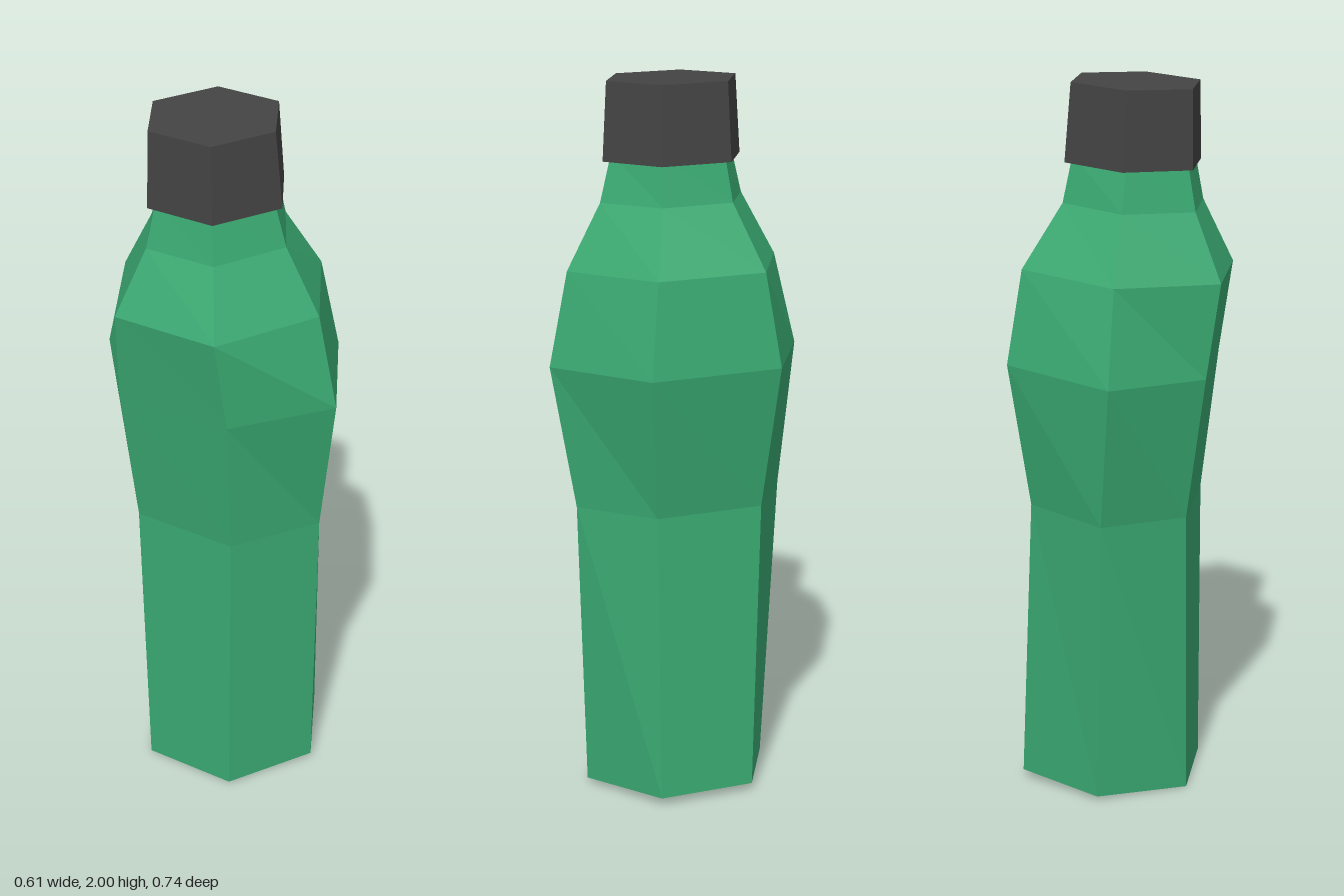
import * as THREE from 'three';

// Each ring: height on the axis, then six [x, z] corners starting at the back.
const bottleRings = [
  { y: 0.011, p: [[0.01, -0.255], [0.255, -0.14], [0.275, 0.135], [0.05, 0.285], [-0.195, 0.17], [-0.215, -0.105]] },
  { y: 0.825, p: [[-0.015, -0.31], [0.215, -0.175], [0.24, 0.135], [0.04, 0.305], [-0.195, 0.175], [-0.215, -0.135]] },
  { y: 1.226, p: [[-0.05, -0.37], [0.27, -0.21], [0.305, 0.17], [0.015, 0.37], [-0.24, 0.195], [-0.27, -0.15]] },
  { y: 1.488, p: [[-0.05, -0.305], [0.235, -0.175], [0.26, 0.137], [0.005, 0.315], [-0.28, 0.185], [-0.305, -0.13]] },
  { y: 1.668, p: [[-0.05, -0.205], [0.135, -0.115], [0.155, 0.09], [-0.01, 0.215], [-0.205, 0.125], [-0.225, -0.085]] },
  { y: 1.8, p: [[-0.055, -0.175], [0.11, -0.1], [0.125, 0.08], [-0.02, 0.18], [-0.185, 0.105], [-0.2, -0.07]] },
];
const capRings = [
  { y: 1.779, p: [[-0.05, -0.2], [0.13, -0.112], [0.146, 0.09], [-0.016, 0.205], [-0.2, 0.117], [-0.217, -0.085]] },
  { y: 1.995, p: [[-0.06, -0.19], [0.113, -0.107], [0.129, 0.083], [-0.028, 0.19], [-0.197, 0.11], [-0.214, -0.082]] },
];

// Joins rings into flat-sided walls; the whole bottle leans, so heights rise with x.
function loft(rings, slope, closed) {
  const pos = [];
  const n = rings[0].p.length;
  const at = (r, i) => {
    const [x, z] = rings[r].p[i % n];
    return [x, rings[r].y + slope * x, z];
  };
  const tri = (a, b, c) => pos.push(...a, ...b, ...c);
  for (let r = 0; r < rings.length - 1; r++) {
    for (let i = 0; i < n; i++) {
      tri(at(r, i), at(r + 1, i), at(r + 1, i + 1));
      tri(at(r, i), at(r + 1, i + 1), at(r, i + 1));
    }
  }
  if (closed) {
    const top = rings.length - 1;
    for (let i = 1; i < n - 1; i++) {
      tri(at(0, 0), at(0, i), at(0, i + 1));
      tri(at(top, 0), at(top, i + 1), at(top, i));
    }
  }
  const geo = new THREE.BufferGeometry();
  geo.setAttribute('position', new THREE.Float32BufferAttribute(pos, 3));
  geo.computeVertexNormals();
  return geo;
}

export function createModel() {
  const green = new THREE.MeshStandardMaterial({ color: 0x3aaa72, flatShading: true, side: THREE.DoubleSide });
  green.name = 'bottle green';
  const charcoal = new THREE.MeshStandardMaterial({ color: 0x444444, flatShading: true });
  charcoal.name = 'cap charcoal';

  const group = new THREE.Group();
  group.name = 'bottle';

  // Thin body, open at the base
  const body = new THREE.Mesh(loft(bottleRings, 0.047, false), green);
  body.name = 'bottleBody';

  // Screw cap over the neck
  const cap = new THREE.Mesh(loft(capRings, 0.038, true), charcoal);
  cap.name = 'cap';

  group.add(body, cap);
  return group;
}
